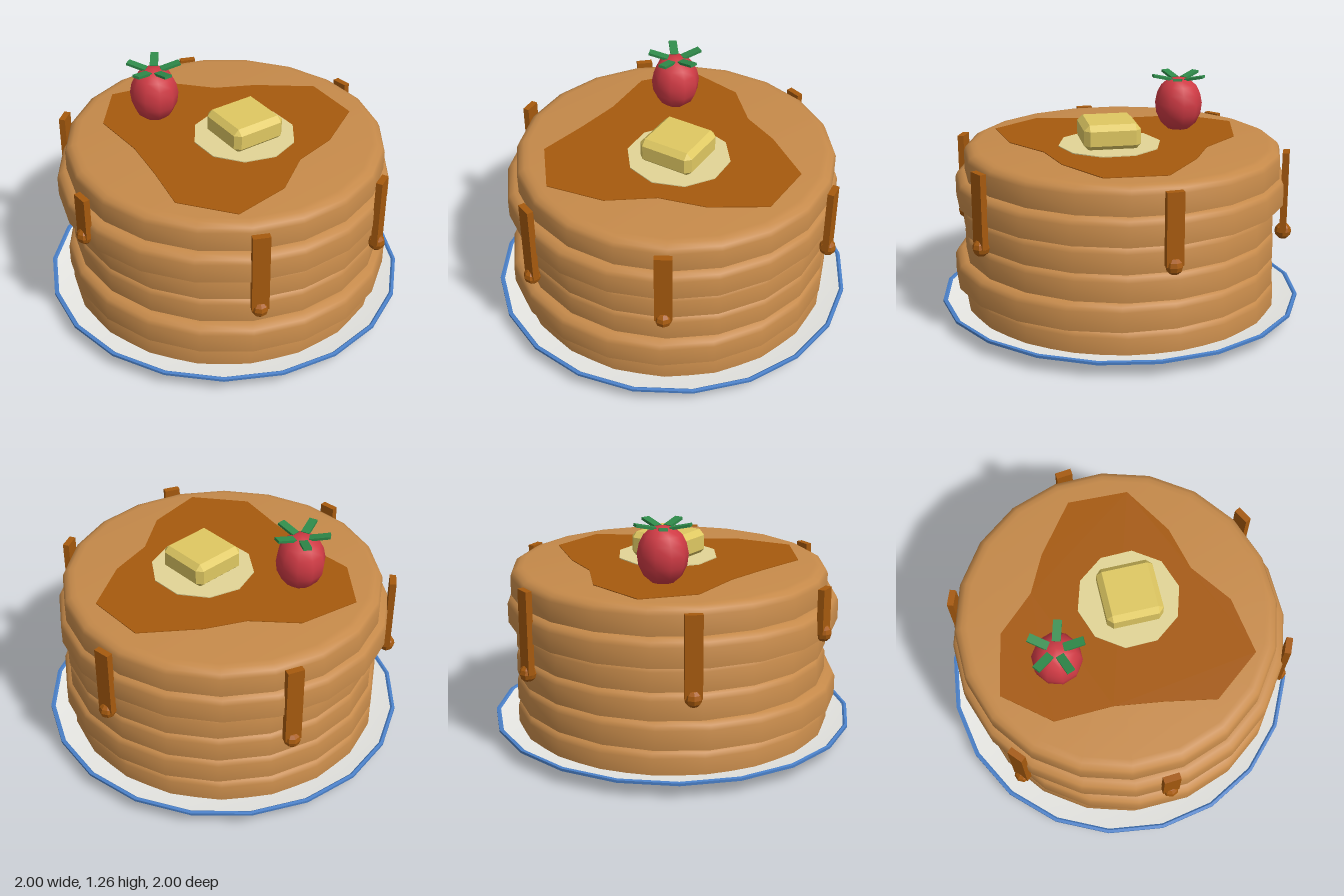
import * as THREE from 'three';
import { toCreasedNormals } from 'three/addons/utils/BufferGeometryUtils.js';
import { ConvexGeometry } from 'three/addons/geometries/ConvexGeometry.js';

const material = (name, color, flatShading = false) => {
  const m = new THREE.MeshStandardMaterial({ color, flatShading });
  m.name = name;
  return m;
};

// Lathe from [radius, height] pairs (listed bottom to top), smooth with sharp creases
const lathe = (points, sides, crease = 0.6) =>
  toCreasedNormals(new THREE.LatheGeometry(points.map(([r, y]) => new THREE.Vector2(r, y)), sides), crease);

// Box with every edge cut at 45 degrees; x, y, z are half sizes
function chamferedBox(x, y, z, c) {
  const points = [];
  for (const i of [-1, 1]) for (const j of [-1, 1]) for (const k of [-1, 1]) {
    points.push(
      new THREE.Vector3(i * x, j * (y - c), k * (z - c)),
      new THREE.Vector3(i * (x - c), j * y, k * (z - c)),
      new THREE.Vector3(i * (x - c), j * (y - c), k * z));
  }
  return new ConvexGeometry(points);
}

export function createModel() {
  const model = new THREE.Group();
  model.name = 'pancakeStack';
  const mats = {
    plate: material('plate white', 0xe8e8e4),
    rim: material('rim blue', 0x4a80c8),
    pancake: material('pancake brown', 0xc68a4a),
    syrup: material('syrup amber', 0xa65a0e, true),
    butter: material('butter yellow', 0xdfc862, true),
    melt: material('melted butter', 0xe2d596),
    berry: material('berry red', 0xcf3a44),
    leaf: material('leaf green', 0x2f8a4a, true),
  };
  const add = (name, geometry, mat, x = 0, y = 0, z = 0, parent = model) => {
    const mesh = new THREE.Mesh(geometry, mat);
    mesh.name = name;
    mesh.position.set(x, y, z);
    parent.add(mesh);
    return mesh;
  };

  // Plate with a thin painted rim
  add('plate', lathe([[0, 0], [0.82, 0], [0.86, 0.016], [0.985, 0.072], [0.985, 0.085], [0.78, 0.05], [0, 0.05]], 20), mats.plate);
  add('plateRim', lathe([[0.975, 0.07], [1, 0.074], [1, 0.088], [0.985, 0.091], [0.975, 0.083]], 20), mats.rim);

  // Pancakes: [centre x, centre z, radius]
  const pancakes = [[0, 0, 0.87], [0.005, 0.03, 0.893], [0.015, 0, 0.86], [0.017, 0.005, 0.86], [-0.005, 0, 0.908], [0.01, -0.015, 0.867]];
  pancakes.forEach(([x, z, r], i) => {
    const profile = [[0, 0], [r, 0], [r, 0.105], [r - 0.012, 0.13], [r - 0.04, 0.146], [r - 0.07, 0.15], [0, 0.15]];
    add('pancake' + (i + 1), lathe(profile, 20, 0.75), mats.pancake, x, 0.05 + i * 0.15, z).rotation.y = Math.PI / 20;
  });

  // Syrup pool, outline given as x, z
  const outline = [[-0.48, -0.59], [-0.14, -0.62], [0.1, -0.48], [0.33, -0.44], [0.65, -0.32], [0.735, 0], [0.52, 0.24],
    [0.3, 0.37], [0.13, 0.59], [-0.16, 0.73], [-0.43, 0.54], [-0.46, 0.26], [-0.5, 0], [-0.6, -0.3]];
  const pool = new THREE.Shape(outline.map(([x, z]) => new THREE.Vector2(x, -z)));
  add('syrupPool', new THREE.ExtrudeGeometry(pool, { depth: 0.005, bevelEnabled: false }), mats.syrup, 0, 0.949, 0).rotation.x = -Math.PI / 2;

  // Syrup drips: [x, z, height of the drop]
  const drips = [[0.06, -0.905, 0.48], [0.84, -0.36, 0.55], [0.645, 0.645, 0.53], [-0.105, 0.905, 0.48], [-0.855, 0.32, 0.69], [-0.78, -0.48, 0.5]];
  drips.forEach(([x, z, bottom], i) => {
    const drip = new THREE.Group();
    drip.name = 'syrupDrip' + (i + 1);
    drip.position.set(x, 0, z);
    drip.rotation.y = Math.atan2(x, z);
    const length = 0.93 - bottom;
    add('run', new THREE.BoxGeometry(0.09, length, 0.035), mats.syrup, 0, bottom + length / 2, 0, drip);
    add('drop', new THREE.SphereGeometry(0.046, 8, 6), mats.syrup, 0, bottom, 0, drip);
    model.add(drip);
  });

  // Butter pat on its melted puddle
  add('meltedButter', new THREE.CylinderGeometry(0.28, 0.28, 0.008, 10), mats.melt, 0.1, 0.955, 0.045).rotation.y = Math.PI / 10;
  add('butterPat', chamferedBox(0.157, 0.07, 0.153, 0.03), mats.butter, 0.1, 1.022, 0.05).rotation.y = 0.29;

  // Strawberry with a crown of five leaves
  const berry = new THREE.Group();
  berry.name = 'strawberry';
  berry.position.set(-0.305, 0.94, -0.3);
  add('fruit', lathe([[0, 0], [0.06, 0.01], [0.1, 0.045], [0.126, 0.1], [0.133, 0.16], [0.122, 0.215], [0.1, 0.26], [0.06, 0.295], [0, 0.305]], 10, 1.2),
    mats.berry, 0, 0, 0, berry);
  for (let i = 0; i < 5; i++) {
    const pivot = new THREE.Group();
    pivot.name = 'leaf' + (i + 1);
    pivot.rotation.y = i * Math.PI * 2 / 5;
    add('blade', new THREE.BoxGeometry(0.11, 0.014, 0.045), mats.leaf, 0.095, 0.306, 0, pivot).rotation.z = 0.22;
    berry.add(pivot);
  }
  model.add(berry);
  return model;
}
